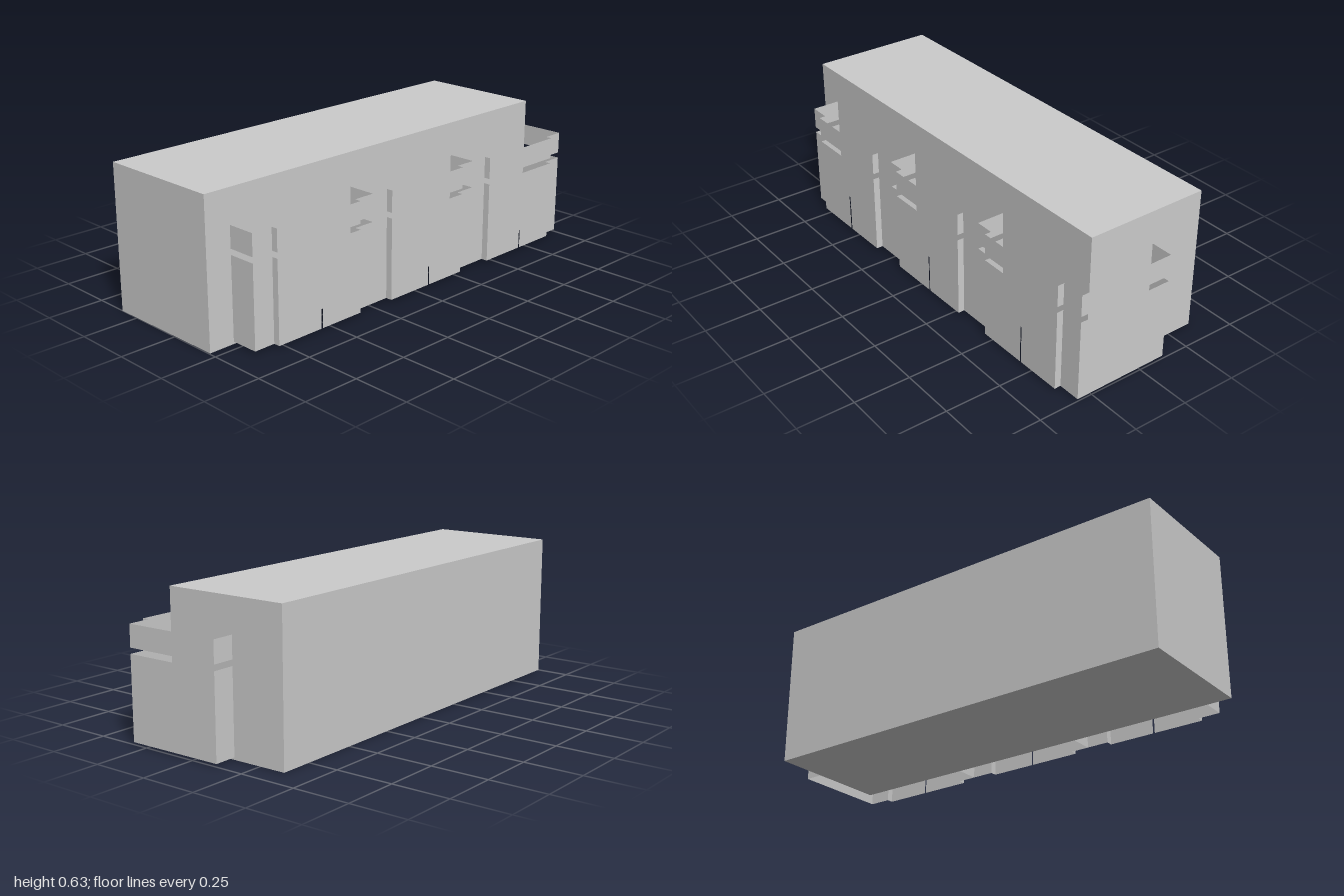
import * as THREE from 'three';

export function createModel() {
  const model = new THREE.Group();
  model.rotation.y = 0.009; // the block sits slightly askew
  const root = new THREE.Group();
  root.add(model);

  const solid = new THREE.MeshStandardMaterial({ color: 0xcccccc, flatShading: true });
  const sheet = new THREE.MeshStandardMaterial({ color: 0xcccccc, flatShading: true, side: THREE.DoubleSide });

  // Main building block
  const wall = 0.204, back = -0.898, front = 0.997, left = -0.359, height = 0.635;
  const block = new THREE.Mesh(new THREE.BoxGeometry(wall - left, height, front - back), solid);
  block.name = 'buildingBlock';
  block.position.set((wall + left) / 2, height / 2, (front + back) / 2);
  model.add(block);

  // Thin upright sheets following a plan path of [x, z] points
  function fence(name, path, y0, y1) {
    const pos = [], idx = [];
    for (let i = 0; i + 1 < path.length; i++) {
      const [ax, az] = path[i], [bx, bz] = path[i + 1], n = i * 4;
      pos.push(ax, y0, az, bx, y0, bz, bx, y1, bz, ax, y1, az);
      idx.push(n, n + 1, n + 2, n, n + 2, n + 3);
    }
    const geo = new THREE.BufferGeometry();
    geo.setAttribute('position', new THREE.Float32BufferAttribute(pos, 3));
    geo.setIndex(idx);
    geo.computeVertexNormals();
    const mesh = new THREE.Mesh(geo, sheet);
    mesh.name = name;
    return mesh;
  }

  // Balconies: start, step out, centre gap, step in, end (all along z)
  const inner = 0.329, outer = 0.358, end = -0.997;
  const bays = [
    [0.88, 0.784, 0.561, 0.553, 0.345, 0.246],
    [0.246, 0.163, -0.064, -0.07, -0.275, -0.374],
    [-0.374, -0.457, -0.684, -0.69, -0.897, end],
  ];
  bays.forEach(([z0, zOut, gapA, gapB, zIn, z1], i) => {
    const bay = new THREE.Group();
    bay.name = 'balcony' + (i + 1);
    const frontHalf = [[wall, z0], [inner, z0], [inner, zOut], [outer, zOut], [outer, gapA]];
    const backHalf = [[outer, gapB], [outer, zIn], [inner, zIn], [inner, z1]];
    // The last balcony wraps around the rear corner
    if (i === bays.length - 1) backHalf.push([-0.113, end], [-0.113, back]);
    // Tall parapet below, narrow rail band above
    for (const [name, y0, y1] of [['parapet', 0.01, 0.367], ['railBand', 0.392, 0.487]]) {
      bay.add(fence(name + 'Front', frontHalf, y0, y1), fence(name + 'Back', backHalf, y0, y1));
    }
    model.add(bay);
  });

  return root;
}
